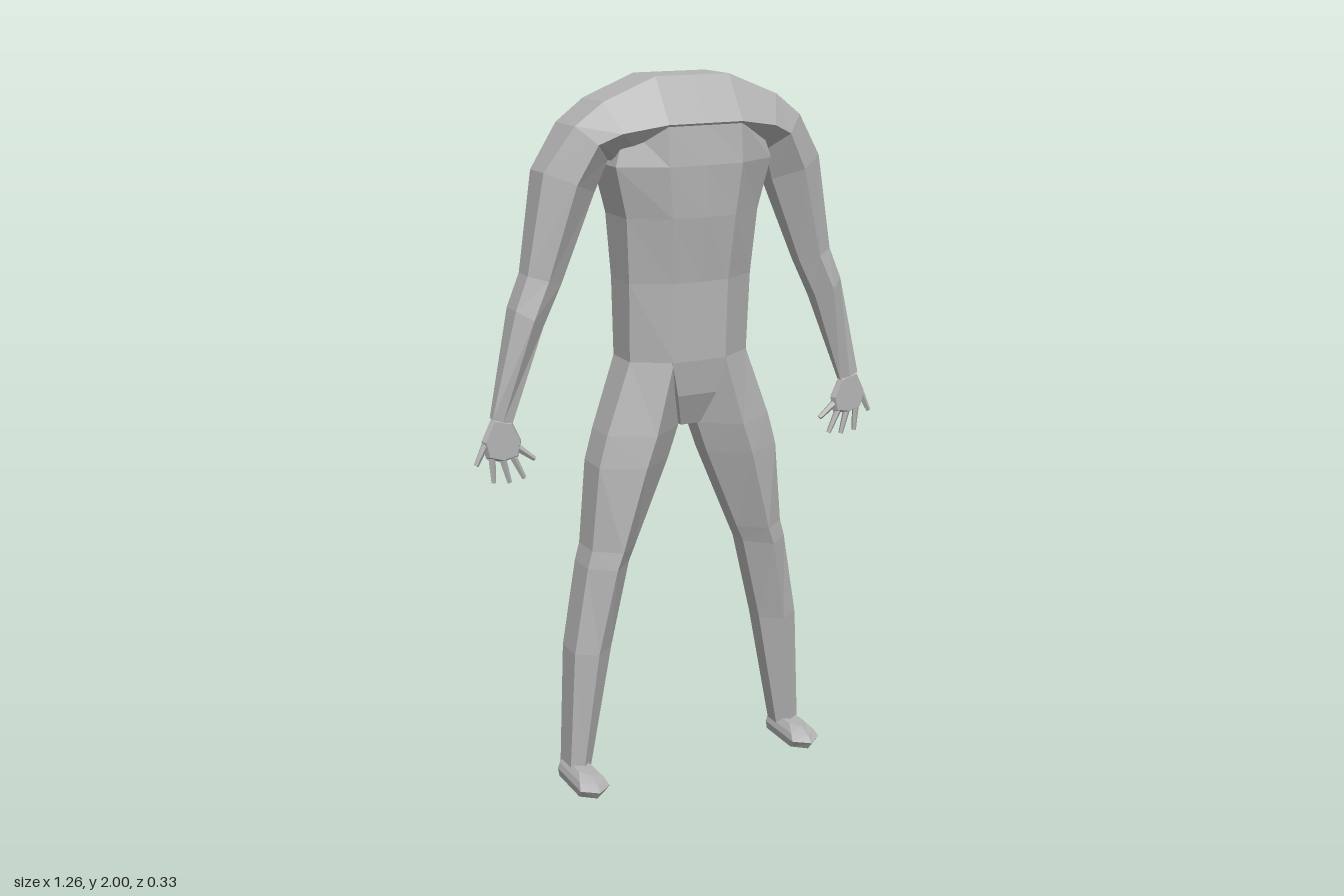
import * as THREE from 'three';

const skin = new THREE.MeshStandardMaterial({ color: 0xb4b4b4 });

// Flat-shaded closed skin through rings of equal point count, facing outwards
function loft(rings) {
  const tris = [];
  const n = rings[0].length;
  for (let i = 0; i < rings.length - 1; i++) {
    for (let j = 0; j < n; j++) {
      const k = (j + 1) % n;
      const a = rings[i][j], b = rings[i][k], c = rings[i + 1][k], d = rings[i + 1][j];
      tris.push([a, b, c], [a, c, d]);
    }
  }
  const first = rings[0], last = rings[rings.length - 1];
  for (let j = 1; j < n - 1; j++) {
    tris.push([first[0], first[j + 1], first[j]], [last[0], last[j], last[j + 1]]);
  }
  const v = (p) => new THREE.Vector3(...p);
  let volume = 0;
  for (const [a, b, c] of tris) volume += v(a).dot(v(b).cross(v(c)));
  if (volume < 0) tris.forEach((t) => t.reverse());
  const geo = new THREE.BufferGeometry();
  geo.setAttribute('position', new THREE.Float32BufferAttribute(tris.flat(2), 3));
  geo.computeVertexNormals();
  return geo;
}

function part(name, geo, parent) {
  const mesh = new THREE.Mesh(geo, skin);
  mesh.name = name;
  parent.add(mesh);
  return mesh;
}

const mirrorRing = (ring) => ring.map(([x, y, z]) => [-x, y, z]);

// Six-sided limb section: flat outer edge, front ridge, flat inner edge, back ridge
function limbRing(ox, oy, ix, iy, front, back, of, ob, t = 0.5) {
  const mx = ox + (ix - ox) * t, my = oy + (iy - oy) * t;
  return [
    [ox, oy, of], [mx, my, front], [ix, iy, of * 0.7],
    [ix, iy, ob * 0.7], [mx, my, back], [ox, oy, ob],
  ];
}

// Hand: flat palm with five tapered fingers
function addHand(parent, s, name) {
  const hand = new THREE.Group();
  hand.name = name;
  parent.add(hand);
  const outline = [[0.52, 1.1], [0.575, 1.115], [0.607, 1.05], [0.595, 1.0], [0.55, 0.985], [0.502, 0.995], [0.492, 1.04]];
  const slab = (z, k) => outline.map(([x, y]) => [s * (0.55 + (x - 0.55) * k), 1.045 + (y - 1.045) * k, z]);
  part('palm', loft([slab(-0.015, 0.85), slab(-0.003, 1), slab(0.012, 0.85)]), hand);
  const fingers = [
    [0.597, 1.04, 0.625, 0.985], [0.58, 1.01, 0.576, 0.93], [0.55, 1.0, 0.53, 0.925],
    [0.522, 1.005, 0.487, 0.932], [0.503, 1.02, 0.455, 0.982],
  ];
  for (const [x0, y0, x1, y1] of fingers) {
    const from = new THREE.Vector3(s * x0, y0, -0.002), to = new THREE.Vector3(s * x1, y1, -0.002);
    const dir = to.clone().sub(from);
    const finger = part('finger', new THREE.CylinderGeometry(0.007, 0.011, dir.length(), 5).toNonIndexed(), hand);
    finger.geometry.computeVertexNormals();
    finger.position.copy(from).add(to).multiplyScalar(0.5);
    finger.quaternion.setFromUnitVectors(new THREE.Vector3(0, 1, 0), dir.normalize());
  }
}

export function createModel() {
  const body = new THREE.Group();
  body.name = 'body';

  // Torso: y, ridge x, half width, front centre z, front z, side front z, side back z, back z
  const torso = [
    [1.88, 0.11, 0.2, 0.13, 0.13, 0.06, -0.08, -0.155],
    [1.77, 0.11, 0.235, 0.142, 0.138, 0.07, -0.08, -0.145],
    [1.63, 0.095, 0.2, 0.135, 0.128, 0.06, -0.075, -0.128],
    [1.45, 0.085, 0.187, 0.108, 0.105, 0.045, -0.07, -0.123],
    [1.23, 0.08, 0.182, 0.105, 0.102, 0.035, -0.07, -0.135],
  ].map(([y, a, w, zc, zf, sf, sb, zb]) => [
    [0, y, zc], [a, y, zf], [w, y, sf], [w, y, sb], [a, y, zb],
    [0, y, zb + 0.01], [-a, y, zb], [-w, y, sb], [-w, y, sf], [-a, y, zf],
  ]);
  part('torso', loft(torso), body);

  // Shoulders and both arms run as one band from wrist to wrist
  const arm = [
    [0.11, 2.0, 0.11, 1.76, 0.135, -0.165, 0.055, -0.08],
    [0.26, 1.94, 0.2, 1.78, 0.105, -0.132, 0.052, -0.08],
    [0.34, 1.88, 0.24, 1.785, 0.085, -0.125, 0.045, -0.08],
    [0.42, 1.76, 0.272, 1.7, 0.07, -0.105, 0.02, -0.07],
    [0.468, 1.49, 0.37, 1.46, 0.04, -0.095, 0.012, -0.05],
    [0.505, 1.4, 0.425, 1.35, 0.045, -0.112, 0.015, -0.05],
    [0.577, 1.11, 0.52, 1.09, 0.012, -0.022, 0.008, -0.014],
  ].map((r) => limbRing(...r));
  const spine = limbRing(0, 2.0, 0, 1.76, 0.135, -0.155, 0.055, -0.08);
  part('shouldersAndArms', loft([...arm.map(mirrorRing).reverse(), spine, ...arm]), body);

  // Pelvis wedge between the legs
  const pelvis = [[1.23, 0.085, 0.103, -0.135], [1.13, 0.06, 0.088, -0.125], [1.035, 0.03, 0.045, -0.07]]
    .map(([y, x, f, b]) => [[-x, y, f], [x, y, f], [x, y, b], [-x, y, b]]);
  part('pelvis', loft(pelvis), body);

  // Legs: y, outer x, inner x, front z, back z, outer flat from and to, ridge position
  const leg = [
    [1.23, 0.182, 0.0, 0.102, -0.135, 0.035, -0.07, 0.56],
    [1.03, 0.255, 0.03, 0.11, -0.142, 0.04, -0.06, 0.53],
    [0.94, 0.28, 0.062, 0.108, -0.135, 0.04, -0.06, 0.52],
    [0.7, 0.303, 0.163, 0.092, -0.108, 0.035, -0.055, 0.5],
    [0.65, 0.317, 0.185, 0.09, -0.106, 0.035, -0.055, 0.5],
    [0.4, 0.36, 0.243, 0.07, -0.09, 0.033, -0.053, 0.5],
    [0.04, 0.378, 0.31, 0.048, -0.06, 0.028, -0.045, 0.5],
  ].map(([y, o, i, f, b, of, ob, t]) => limbRing(o, y, i, y, f, b, of, ob, t));

  // Feet: pointed sole outline narrowing upwards
  const foot = [[0, 0.9, 0.145], [0.025, 1, 0.165], [0.042, 0.85, 0.145], [0.058, 0.55, 0.11]]
    .map(([y, k, toe]) => {
      const x = (d) => 0.348 + d * k;
      return [
        [x(-0.043), y, -0.035], [x(-0.045), y, toe - 0.035], [x(0), y, toe],
        [x(0.045), y, toe - 0.035], [x(0.043), y, -0.035], [x(0), y, -0.062],
      ];
    });

  for (const [s, side] of [[1, 'left'], [-1, 'right']]) {
    const place = (rings) => (s > 0 ? rings : rings.map(mirrorRing));
    part(side + 'Leg', loft(place(leg)), body);
    part(side + 'Foot', loft(place(foot)), body);
    addHand(body, s, side + 'Hand');
  }
  return body;
}
